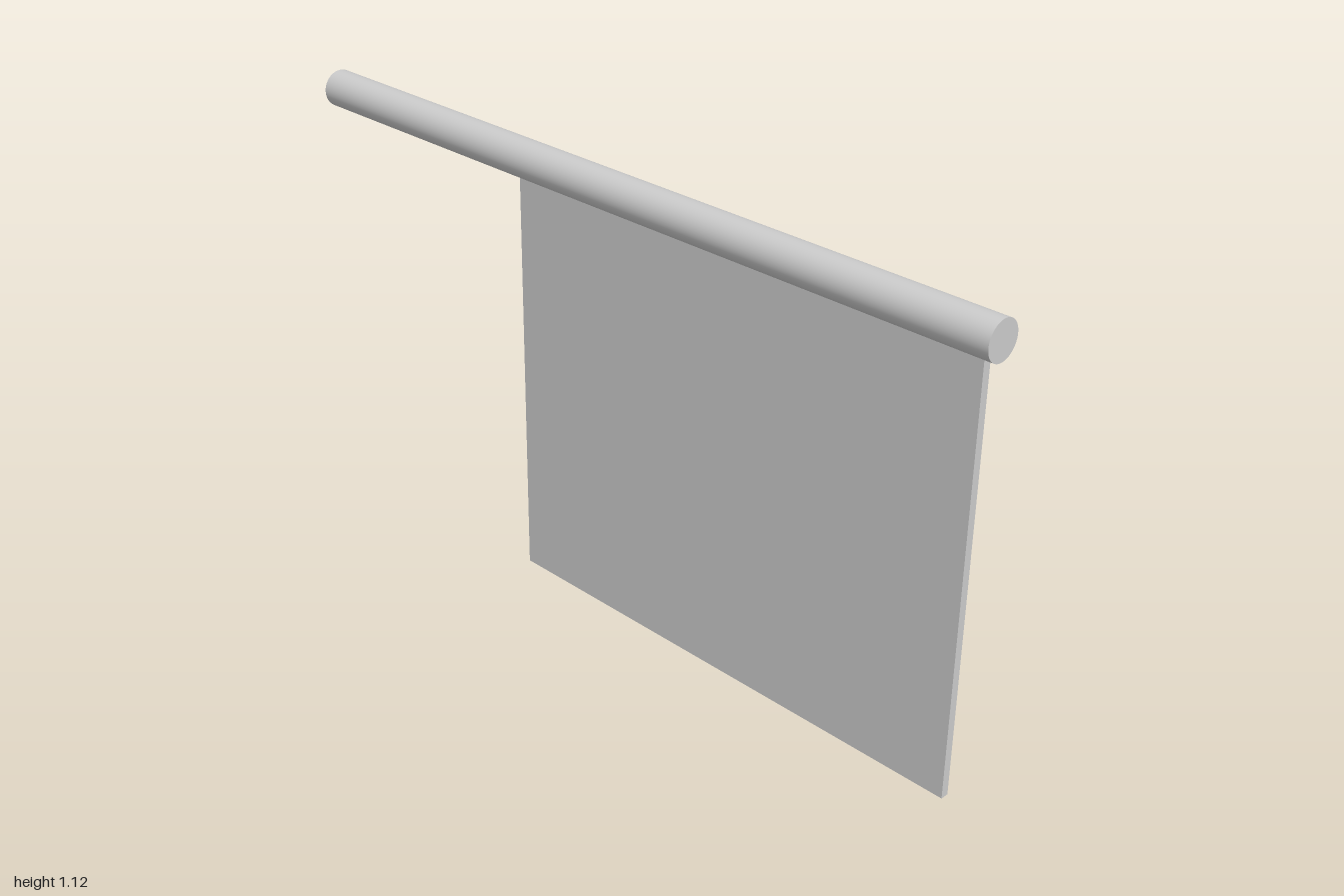
import * as THREE from 'three';

const RADIUS = 0.0455, LENGTH = 2, POLE_Y = 1.07;

export function createModel() {
  const group = new THREE.Group();
  const solid = new THREE.MeshStandardMaterial({ color: 0xcccccc });
  const thin = new THREE.MeshStandardMaterial({ color: 0xcccccc, side: THREE.DoubleSide });

  const add = (name, geometry, material, y, z) => {
    const mesh = new THREE.Mesh(geometry, material);
    mesh.name = name;
    mesh.position.set(0, y, z);
    group.add(mesh);
  };

  // Hollow pole along z, open at the back
  const tube = new THREE.CylinderGeometry(RADIUS, RADIUS, LENGTH, 48, 1, true).rotateX(Math.PI / 2);
  add('pole', tube, thin, POLE_Y, 0);

  // Disc closing the front end
  add('poleCap', new THREE.CircleGeometry(RADIUS, 48), thin, POLE_Y, LENGTH / 2);

  // Flat banner hanging from the pole, its top just meeting the underside
  const zBack = -0.32, zFront = 0.97, height = 1.028;
  add('banner', new THREE.BoxGeometry(0.02, height, zFront - zBack), solid, height / 2, (zFront + zBack) / 2);

  return group;
}
